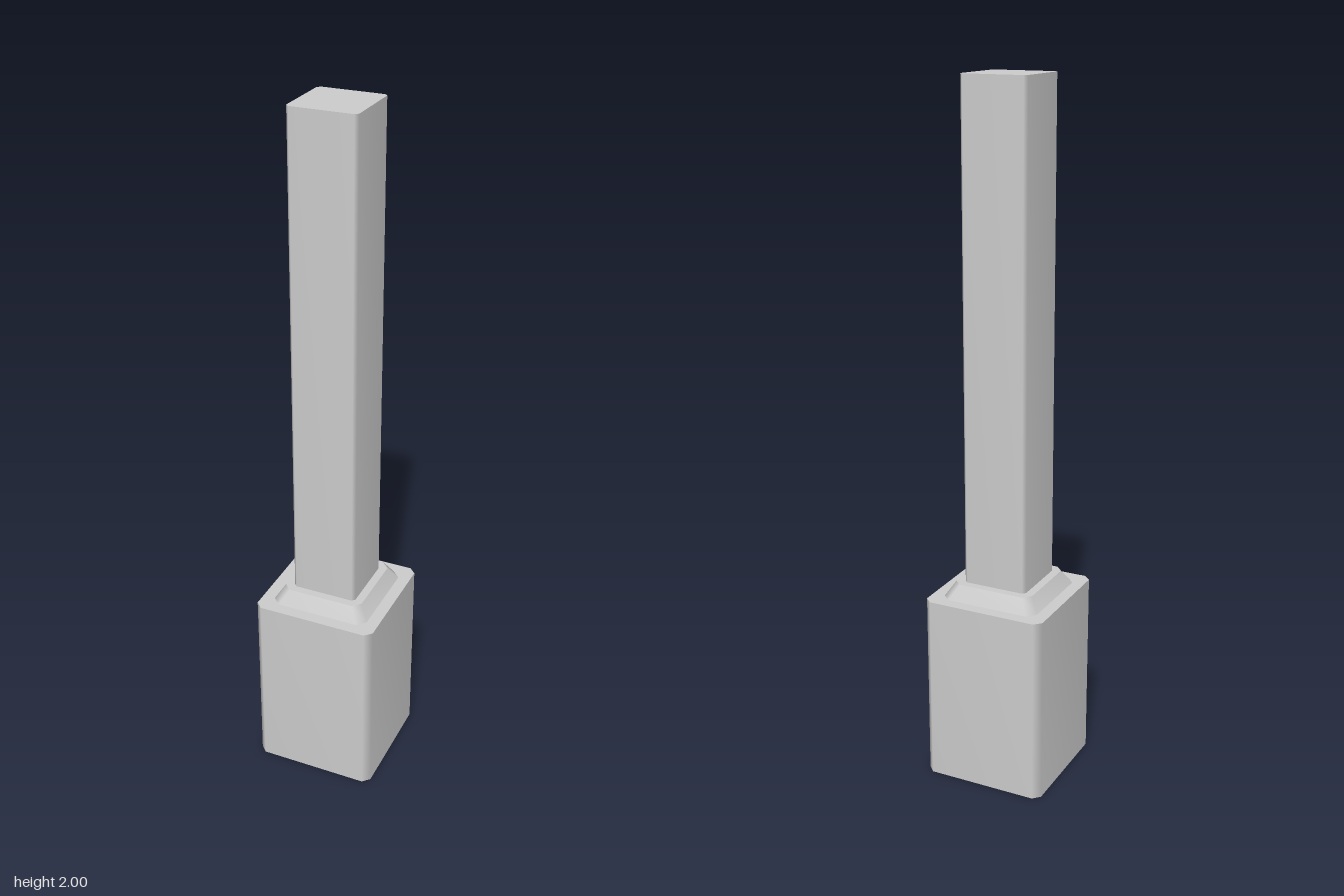
import * as THREE from 'three';

const material = new THREE.MeshStandardMaterial({ color: 0xcccccc, side: THREE.DoubleSide });

// Square ring with cut corners, counter-clockwise from above.
function ring({ half, cut, y }) {
  const points = [];
  const n = half - cut;
  for (const [x, z] of [[half, n], [half, -n], [n, -half], [-n, -half],
    [-half, -n], [-half, n], [-n, half], [n, half]]) points.push(x, y, z);
  return points;
}

// Strip between two rings, smooth around the corners and sharp at its rims.
function band(name, lower, upper) {
  const geometry = new THREE.BufferGeometry();
  const index = [];
  for (let i = 0; i < 8; i++) {
    const j = (i + 1) % 8;
    index.push(i, j, i + 8, j, j + 8, i + 8);
  }
  geometry.setAttribute('position',
    new THREE.Float32BufferAttribute([...ring(lower), ...ring(upper)], 3));
  geometry.setIndex(index);
  geometry.computeVertexNormals();
  const mesh = new THREE.Mesh(geometry, material);
  mesh.name = name;
  return mesh;
}

export function createModel() {
  const group = new THREE.Group();
  group.name = 'post';

  // Cross-sections from the open foot up to the closed top
  const sections = [
    { half: 0.182, cut: 0.02, y: 0 },
    { half: 0.182, cut: 0.02, y: 0.55 },
    { half: 0.146, cut: 0.024, y: 0.55 },
    { half: 0.12, cut: 0.022, y: 0.592 },
    { half: 0.096, cut: 0.009, y: 0.592 },
    { half: 0.096, cut: 0.009, y: 2 },
    { half: 0, cut: 0, y: 2 },
  ];
  const names = ['base', 'baseLedge', 'collar', 'collarTop', 'shaft', 'shaftTop'];
  names.forEach((name, i) => group.add(band(name, sections[i], sections[i + 1])));

  return group;
}
